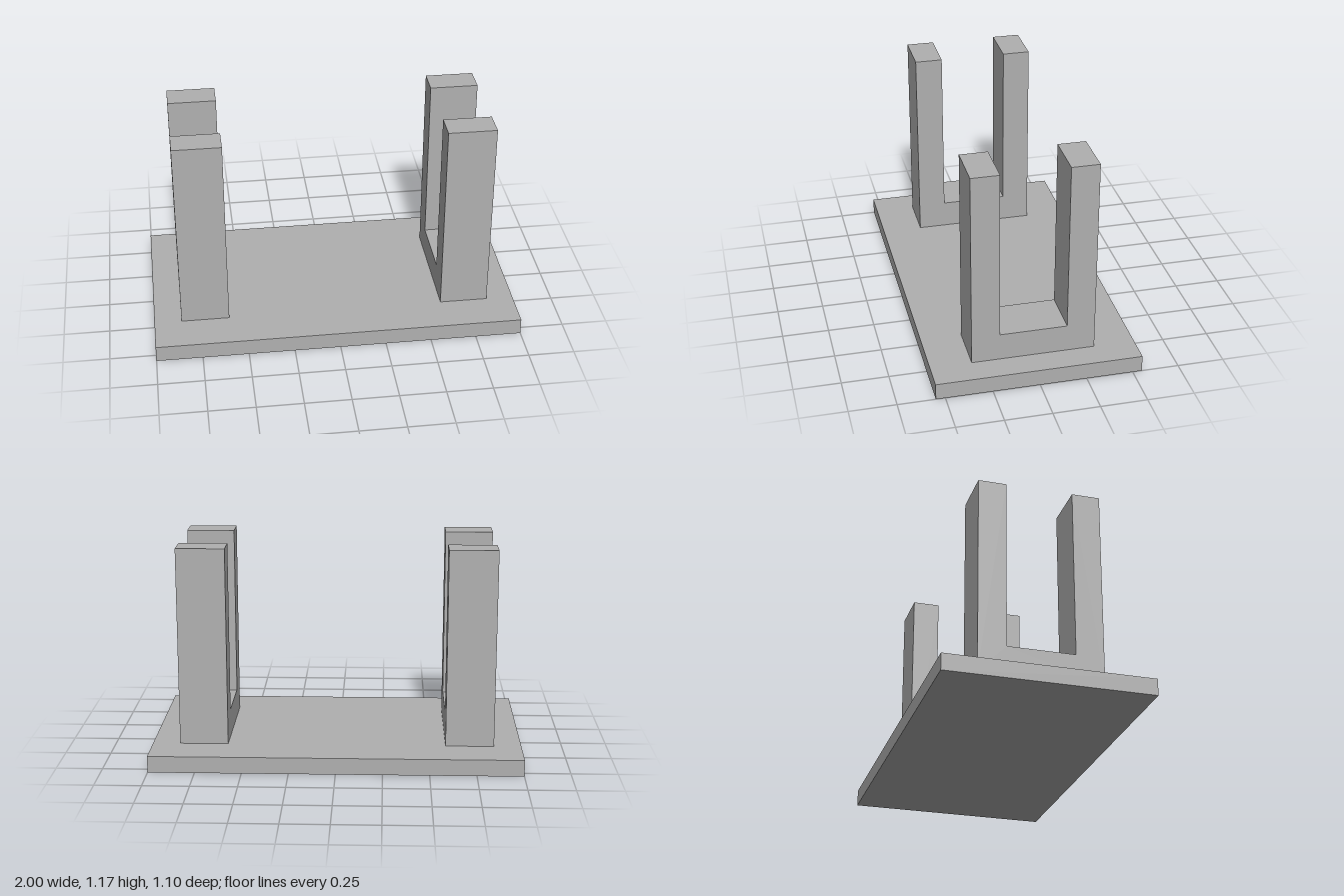
import * as THREE from 'three';

export function createModel() {
  const model = new THREE.Group();
  model.name = 'cradleStand';
  const grey = new THREE.MeshStandardMaterial({ color: 0xb0b0b0 });
  grey.name = 'plain grey';

  const baseHeight = 0.09;

  // Flat base plate
  const base = new THREE.Mesh(new THREE.BoxGeometry(2, baseHeight, 1.1), grey);
  base.name = 'basePlate';
  base.position.y = baseHeight / 2;
  model.add(base);

  // U-shaped bracket profile, extruded along the stand's length
  const outer = 0.33, inner = 0.18, floor = 0.15, height = 1.08, width = 0.262;
  const profile = new THREE.Shape([
    [-outer, 0], [outer, 0], [outer, height], [inner, height],
    [inner, floor], [-inner, floor], [-inner, height], [-outer, height],
  ].map(([x, y]) => new THREE.Vector2(x, y)));
  const bracketGeometry = new THREE.ExtrudeGeometry(profile, { depth: width, bevelEnabled: false });
  bracketGeometry.translate(0, 0, -width / 2).rotateY(Math.PI / 2);

  // One bracket near each end
  for (const [name, side] of [['leftBracket', 1], ['rightBracket', -1]]) {
    const bracket = new THREE.Mesh(bracketGeometry, grey);
    bracket.name = name;
    bracket.position.set(side * 0.721, baseHeight, 0);
    model.add(bracket);
  }
  return model;
}
